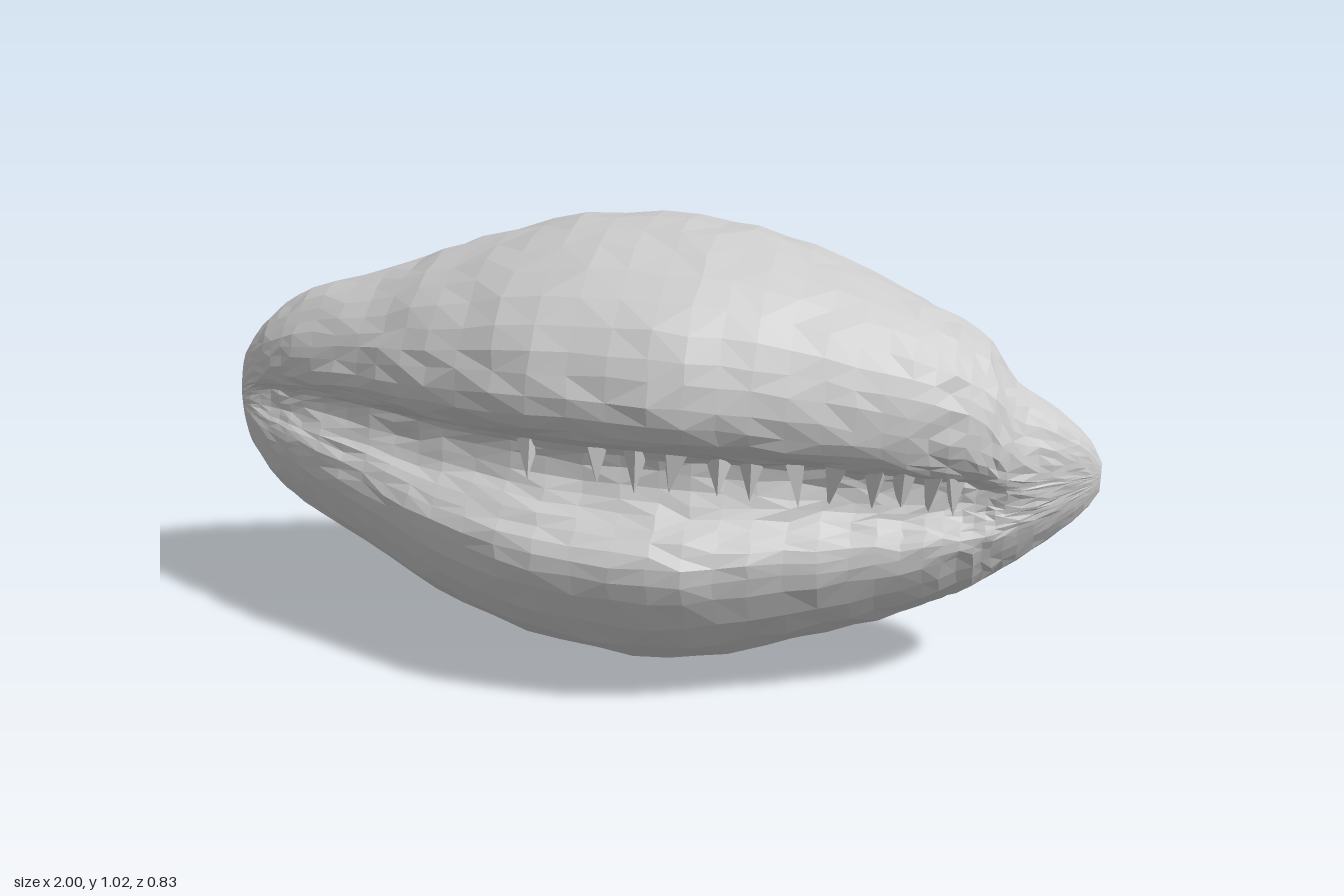
import * as THREE from 'three';

// Lengthwise stations: x, top y, bottom y, slit y, front z, back z
const STATIONS = [
  [-1, 0.58, 0.45, 0.53, 0.018, 0.03],
  [-0.98, 0.645, 0.4, 0.54, 0.045, 0.055],
  [-0.9, 0.745, 0.3, 0.555, 0.092, 0.12],
  [-0.8, 0.805, 0.245, 0.56, 0.145, 0.18],
  [-0.6, 0.865, 0.155, 0.56, 0.24, 0.255],
  [-0.4, 0.94, 0.07, 0.55, 0.335, 0.315],
  [-0.15, 1.008, 0.018, 0.54, 0.408, 0.4],
  [0.1, 1.018, 0.006, 0.53, 0.408, 0.415],
  [0.3, 0.985, 0.05, 0.515, 0.345, 0.385],
  [0.5, 0.915, 0.115, 0.495, 0.265, 0.285],
  [0.65, 0.85, 0.18, 0.485, 0.205, 0.19],
  [0.75, 0.785, 0.24, 0.48, 0.165, 0.14],
  [0.81, 0.705, 0.285, 0.48, 0.14, 0.125],
  [0.9, 0.65, 0.355, 0.49, 0.085, 0.1],
  [0.97, 0.59, 0.425, 0.505, 0.04, 0.055],
  [1, 0.54, 0.475, 0.51, 0.012, 0.02],
];

// Cross-section (z, y) in unit radii: from the slit floor over top, back and bottom
const SECTION = [
  [0.7, 0.02], [0.72, 0.1], [0.79, 0.135], [0.88, 0.18], [0.95, 0.24], [1, 0.35],
  [0.97, 0.5], [0.9, 0.635], [0.73, 0.785], [0.48, 0.905], [0.2, 0.98], [-0.08, 1],
  [-0.4, 0.93], [-0.64, 0.8], [-0.81, 0.6], [-0.93, 0.33], [-1, -0.1], [-0.95, -0.4],
  [-0.84, -0.68], [-0.63, -0.86], [-0.35, -0.97], [0.1, -1], [0.48, -0.9], [0.8, -0.69],
  [0.97, -0.47], [1, -0.34], [0.96, -0.26], [0.88, -0.2], [0.79, -0.145], [0.73, -0.08],
];

const heights = new THREE.CatmullRomCurve3(STATIONS.map(s => new THREE.Vector3(s[0], s[1], s[2])));
const depths = new THREE.CatmullRomCurve3(STATIONS.map(s => new THREE.Vector3(s[3], s[4], s[5])));
const section = new THREE.CatmullRomCurve3(SECTION.map(p => new THREE.Vector3(p[0], p[1], 0)), true);

function seeded(seed) {
  return () => {
    seed = (seed * 16807) % 2147483647;
    return seed / 2147483647;
  };
}

// Point of the surface for lengthwise parameter t and section point (u, v)
function surfacePoint(t, u, v) {
  const h = heights.getPoint(t), d = depths.getPoint(t);
  // the slit runs out into plain rounded tips
  const fade = Math.max(
    THREE.MathUtils.smoothstep(h.x, 0.72, 0.88),
    THREE.MathUtils.smoothstep(-h.x, 0.9, 1)
  );
  if (u > 0.5) u = THREE.MathUtils.lerp(u, Math.sqrt(Math.max(0, 1 - v * v)), fade);
  return new THREE.Vector3(
    h.x,
    d.x + v * (v > 0 ? h.y - d.x : d.x - h.z),
    u * (u > 0 ? d.y : d.z)
  );
}

function shellGeometry() {
  const rand = seeded(11);
  const rings = (STATIONS.length - 1) * 3;
  const count = SECTION.length * 1.5;
  const positions = [], index = [];

  for (let i = 0; i <= rings; i++) {
    const t = i / rings;
    const rough = 0.009 * Math.min(1, 4 * t, 4 * (1 - t));
    for (let j = 0; j < count; j++) {
      const s = section.getPoint(j / count);
      const p = surfacePoint(t, s.x, s.y);
      // slight natural unevenness
      positions.push(
        p.x + (rand() - 0.5) * rough,
        p.y + (rand() - 0.5) * rough,
        p.z + (rand() - 0.5) * rough
      );
    }
  }
  // facets split along either diagonal for an irregular surface
  for (let i = 0; i < rings; i++) {
    for (let j = 0; j < count; j++) {
      const k = (j + 1) % count;
      const a = i * count + j, b = a + count, c = i * count + k, d = c + count;
      if (rand() < 0.5) index.push(a, b, c, b, d, c);
      else index.push(a, b, d, a, d, c);
    }
  }
  // close both tips
  const first = positions.length / 3;
  positions.push(-1, 0.515, -0.005, 1, 0.51, -0.005);
  for (let j = 0; j < count; j++) {
    const k = (j + 1) % count;
    index.push(first, j, k);
    index.push(first + 1, rings * count + k, rings * count + j);
  }
  const geometry = new THREE.BufferGeometry();
  geometry.setAttribute('position', new THREE.Float32BufferAttribute(positions, 3));
  geometry.setIndex(index);
  geometry.computeVertexNormals();
  return geometry;
}

export function createModel() {
  const material = new THREE.MeshStandardMaterial({
    color: 0xcccccc, flatShading: true, side: THREE.DoubleSide,
  });
  const group = new THREE.Group();
  group.name = 'cowrieShell';

  const shell = new THREE.Mesh(shellGeometry(), material);
  shell.name = 'shellBody';
  group.add(shell);

  // jagged teeth hanging from the upper lip across the slit
  const teeth = new THREE.Group();
  teeth.name = 'slitTeeth';
  const rand = seeded(5);
  const toothCount = 12;
  for (let i = 0; i < toothCount; i++) {
    const t = 0.39 + 0.33 * ((i + 0.7 * rand()) / toothCount);
    const length = 0.09 + 0.04 * rand();
    const tooth = new THREE.Mesh(new THREE.ConeGeometry(0.034, length, 4), material);
    tooth.name = 'tooth';
    tooth.position.copy(surfacePoint(t, 0.72, 0.04));
    tooth.rotation.set(Math.PI - 0.2, rand() * 1.5, (rand() - 0.5) * 0.8);
    teeth.add(tooth);
  }
  group.add(teeth);
  return group;
}
